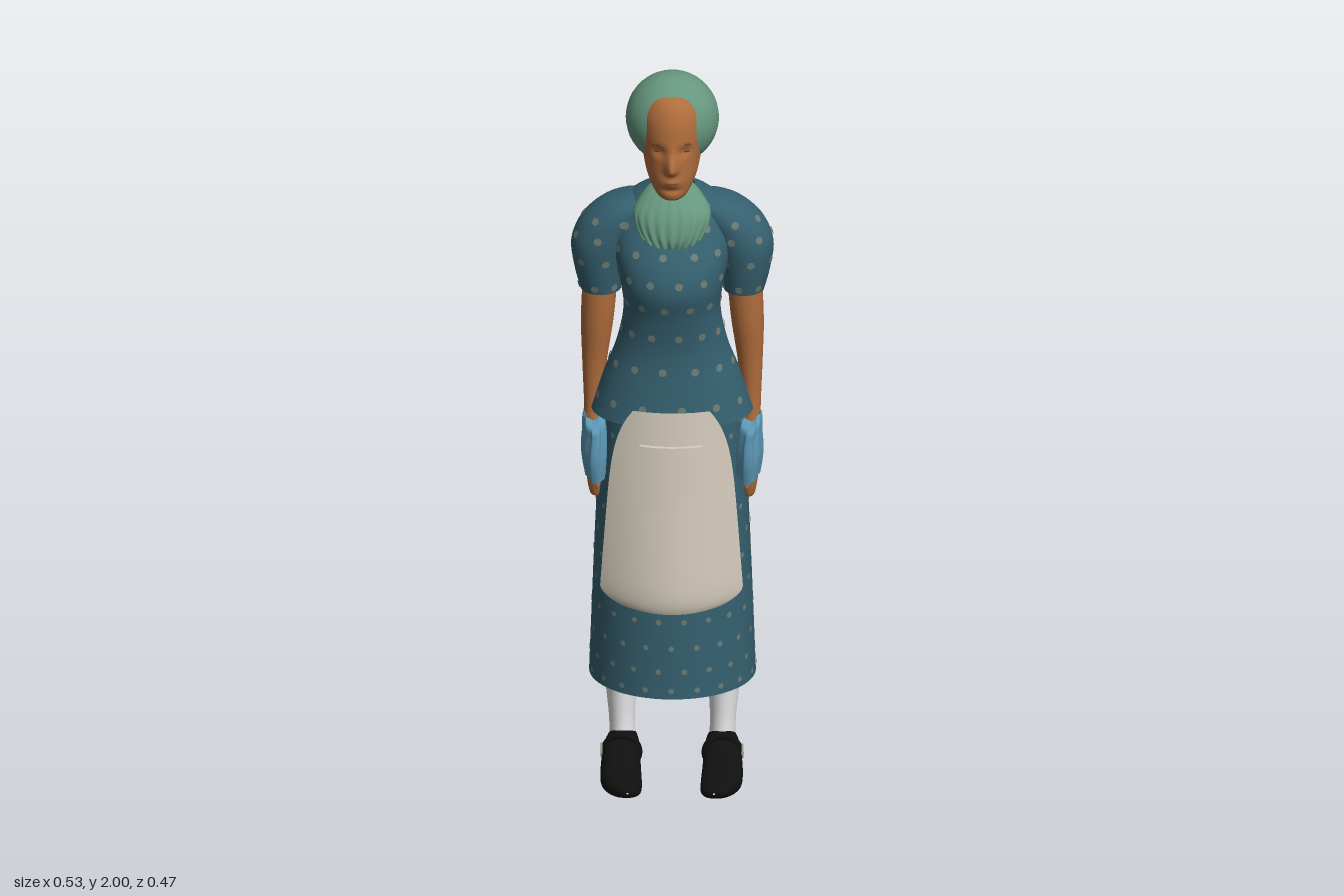
import * as THREE from 'three';
import { mergeGeometries } from 'three/addons/utils/BufferGeometryUtils.js';
import { ParametricGeometry } from 'three/addons/geometries/ParametricGeometry.js';

const mat = (name, color, side = THREE.FrontSide) => {
  const m = new THREE.MeshStandardMaterial({ color, side });
  m.name = name;
  return m;
};

// Smooth surface through rows of [y, centreX, halfWidth, zBack, zFront]
function surface(rows, n = 2) {
  const last = rows.length - 1;
  const spow = (v) => Math.sign(v) * Math.pow(Math.abs(v), 2 / n);
  return (a, t) => {
    const f = Math.min(Math.max(t, 0), 1) * last;
    const i = Math.min(Math.floor(f), last - 1), k = f - i;
    const p = [-1, 0, 1, 2].map((o) => rows[Math.min(Math.max(i + o, 0), last)]);
    const [y, cx, rx, zb, zf] = p[1].map((b, c) => {
      const A = p[0][c], C = p[2][c], D = p[3][c];
      return b + 0.5 * k * (C - A + k * (2 * A - 5 * b + 4 * C - D + k * (3 * (b - C) + D - A)));
    });
    return new THREE.Vector3(cx + rx * spow(Math.cos(a)), y, (zb + zf) / 2 + ((zf - zb) / 2) * spow(Math.sin(a)));
  };
}

// Closed tube over a surface; adjust moves each point, inside turns it inwards
function loft(fn, { seg = 36, steps = 32, adjust, inside = false } = {}) {
  const pos = [], index = [];
  for (let j = 0; j <= steps; j++) {
    for (let i = 0; i < seg; i++) {
      const a = (i / seg) * Math.PI * 2;
      const p = fn(a, j / steps);
      if (adjust) adjust(p, a, j / steps);
      pos.push(p.x, p.y, p.z);
      if (j === steps) continue;
      const A = j * seg + i, B = j * seg + ((i + 1) % seg), C = A + seg, D = B + seg;
      index.push(...(inside ? [A, B, C, B, D, C] : [A, C, B, B, C, D]));
    }
  }
  const g = new THREE.BufferGeometry();
  g.setAttribute('position', new THREE.Float32BufferAttribute(pos, 3));
  g.setIndex(index);
  g.computeVertexNormals();
  return g;
}

// Staggered flat spots lying on a surface
function spots(fn, cols, rows, r, t0, t1) {
  const list = [], z = new THREE.Vector3(0, 0, 1), e = 0.01;
  for (let j = 0; j < rows; j++) {
    for (let i = 0; i < cols; i++) {
      const a = ((i + (j % 2) / 2) / cols) * Math.PI * 2;
      const t = t0 + ((t1 - t0) * j) / (rows - 1);
      const p = fn(a, t);
      const du = fn(a + e, t).sub(fn(a - e, t)), dv = fn(a, t + e).sub(fn(a, t - e));
      const normal = dv.cross(du).normalize();
      const g = new THREE.CircleGeometry(r, 7);
      g.applyQuaternion(new THREE.Quaternion().setFromUnitVectors(z, normal));
      p.addScaledVector(normal, 0.003);
      list.push(g.translate(p.x, p.y, p.z));
    }
  }
  return mergeGeometries(list);
}

export function createModel() {
  const model = new THREE.Group();
  model.name = 'woman';
  const dress = mat('dress teal', 0x35606f, THREE.DoubleSide);
  const spot = mat('spot grey', 0x6c7c74);
  const skin = mat('skin', 0xb06d3c);
  const dark = mat('dark brown', 0x6b3f25);
  const green = mat('scarf green', 0x67977f);
  const cream = mat('apron cream', 0xd6cdbd, THREE.DoubleSide);
  const blue = mat('light blue', 0x5b96b4, THREE.DoubleSide);
  const white = mat('sock white', 0xf0f0f2);
  const black = mat('shoe black', 0x101010);
  const brass = mat('buckle', 0xb0a890);

  const add = (name, geometry, material) => {
    const m = new THREE.Mesh(geometry, material);
    m.name = name;
    model.add(m);
    return m;
  };
  const ball = (name, material, x, y, z, sx, sy, sz) => {
    const m = add(name, new THREE.SphereGeometry(1, 32, 24), material);
    m.position.set(x, y, z);
    m.scale.set(sx, sy, sz);
    return m;
  };

  // Skirt with a lighter lining
  const skirt = surface([[0.28, 0, 0.218, -0.235, 0.16], [0.68, 0, 0.203, -0.212, 0.147], [1.07, 0, 0.185, -0.19, 0.13]]);
  add('skirt', loft(skirt, { seg: 64, steps: 8 }), dress);
  const lining = (p) => { p.x *= 0.985; p.z = (p.z + 0.035) * 0.985 - 0.035; };
  add('skirtLining', loft(skirt, { seg: 64, steps: 8, adjust: lining, inside: true }), blue);
  add('skirtSpots', spots(skirt, 20, 12, 0.008, 0.05, 0.95), spot);

  // Fitted bodice with a flared hem
  const bodice = surface([
    [1.05, 0, 0.212, -0.16, 0.148], [1.15, 0, 0.18, -0.125, 0.133], [1.25, 0, 0.145, -0.088, 0.125],
    [1.35, 0, 0.127, -0.08, 0.14], [1.43, 0, 0.135, -0.09, 0.16], [1.5, 0, 0.15, -0.115, 0.145],
    [1.57, 0, 0.158, -0.13, 0.105], [1.62, 0, 0.142, -0.125, 0.078], [1.66, 0, 0.1, -0.105, 0.055],
    [1.685, 0, 0.058, -0.07, 0.045]], 2.15);
  add('bodice', loft(bodice, { seg: 64, steps: 48 }), dress);
  add('bodiceSpots', spots(bodice, 13, 8, 0.011, 0.06, 0.82), spot);

  // Curved apron with rounded lower corners
  const halfWidth = (y) => {
    const k = (y - 0.53) / 0.57;
    return 0.19 - 0.04 * k - 0.05 * Math.pow(k, 8) - 0.06 * Math.pow(Math.max(0, 1 - k * 12), 2);
  };
  add('apron', new ParametricGeometry((u, v, out) => {
    const k = v * v * (3 - 2 * v), y = 0.53 + 0.57 * k;
    const s = u * 2 - 1, x = s * halfWidth(y);
    const edge = 0.015 * Math.pow(1 - k, 20);
    out.set(x, y + 0.012 * s * s * (1 - k), 0.192 - 0.034 * k - (2.1 - 0.5 * k) * x * x - edge);
  }, 24, 40), cream);
  const pocket = new THREE.BoxGeometry(0.165, 0.17, 0.012, 14, 4, 1);
  const pp = pocket.attributes.position;
  for (let i = 0; i < pp.count; i++) {
    pp.setZ(i, pp.getZ(i) + 0.203 - 0.05 * pp.getY(i) - 2 * pp.getX(i) ** 2);
  }
  pocket.translate(0, 0.935, 0);
  pocket.computeVertexNormals();
  add('apronPocket', pocket, cream);

  // Neck and head with nose, eye sockets and mouth
  add('neck', loft(surface([[1.58, 0, 0.075, -0.08, 0.05], [1.66, 0, 0.058, -0.068, 0.05],
    [1.7, 0, 0.052, -0.06, 0.055], [1.78, 0, 0.055, -0.06, 0.06]])), skin);
  const bump = (v, s) => Math.exp(-(v * v) / (s * s));
  add('head', loft(surface([
    [1.684, 0, 0.004, 0.07, 0.08], [1.69, 0, 0.032, 0.02, 0.112], [1.71, 0, 0.05, -0.02, 0.123],
    [1.75, 0, 0.067, -0.06, 0.126], [1.8, 0, 0.077, -0.09, 0.125], [1.86, 0, 0.083, -0.09, 0.126],
    [1.92, 0, 0.08, -0.08, 0.115], [1.96, 0, 0.05, -0.05, 0.085], [1.975, 0, 0.004, 0, 0.01]]), {
    seg: 96, steps: 72,
    adjust: (p) => {
      if (p.z < 0.04) return;
      const { x, y } = p;
      p.z += 0.03 * bump(x, 0.015) * bump(y - 1.785, y > 1.785 ? 0.038 : 0.014)
        - 0.011 * bump(Math.abs(x) - 0.033, 0.018) * bump(y - 1.83, 0.014)
        + 0.008 * bump(x, 0.022) * bump(y - 1.745, 0.013)
        - 0.006 * bump(x, 0.03) * bump(y - 1.722, 0.009);
    },
  }), skin);
  ball('lips', dark, 0, 1.745, 0.129, 0.02, 0.003, 0.0065);
  for (const s of [-1, 1]) {
    ball('eye', dark, s * 0.033, 1.829, 0.101, 0.014, 0.004, 0.006);
    ball('eyebrow', dark, s * 0.034, 1.852, 0.111, 0.018, 0.003, 0.005);
  }

  // Head scarf and pleated neckerchief
  ball('headScarf', green, 0, 1.875, -0.012, 0.122, 0.125, 0.115);
  add('neckerchief', loft(surface([
    [1.545, 0, 0.02, 0.08, 0.105], [1.55, 0, 0.055, 0.06, 0.115], [1.58, 0, 0.085, 0.03, 0.12],
    [1.63, 0, 0.102, 0.0, 0.107], [1.67, 0, 0.08, -0.02, 0.08], [1.695, 0, 0.052, -0.03, 0.048],
    [1.69, 0, 0.03, -0.02, 0.035]]), {
    seg: 120, steps: 30,
    adjust: (p, a, t) => {
      const wave = Math.cos(a * 20) * (1 - t);
      p.z += 0.004 * wave;
      p.y -= 0.006 * wave * (1 - t);
    },
  }), green);

  for (const s of [-1, 1]) {
    const side = s > 0 ? 'left' : 'right';
    const limb = (rows, n) => surface(rows.map(([y, x, ...r]) => [y, s * x, ...r]), n);

    // Puffed sleeve
    const sleeve = limb([
      [1.385, 0.187, 0.053, -0.072, 0.04], [1.44, 0.19, 0.065, -0.09, 0.052], [1.51, 0.187, 0.078, -0.1, 0.062],
      [1.56, 0.168, 0.084, -0.108, 0.062], [1.6, 0.142, 0.083, -0.108, 0.058], [1.635, 0.11, 0.07, -0.095, 0.045],
      [1.655, 0.09, 0.03, -0.06, 0.01], [1.657, 0.085, 0.003, -0.03, -0.02]]);
    add(side + 'Sleeve', loft(sleeve), dress);
    add(side + 'SleeveSpots', spots(sleeve, 7, 4, 0.011, 0.06, 0.55), spot);

    // Arm, hand and thumb
    add(side + 'Arm', loft(limb([
      [0.795, 0.2, 0.003, -0.005, 0.005], [0.805, 0.2, 0.016, -0.022, 0.016], [0.87, 0.2, 0.026, -0.03, 0.03],
      [0.95, 0.205, 0.025, -0.035, 0.018], [1.05, 0.207, 0.024, -0.05, 0.005], [1.18, 0.203, 0.033, -0.058, 0.012],
      [1.3, 0.196, 0.043, -0.065, 0.028], [1.44, 0.187, 0.046, -0.065, 0.035]])), skin);
    const thumb = ball(side + 'Thumb', skin, s * 0.195, 0.865, 0.036, 0.01, 0.035, 0.011);
    thumb.rotation.x = -0.35;

    // Gathered cuff
    add(side + 'Cuff', loft(limb([
      [0.87, 0.198, 0.03, -0.072, 0.092], [0.93, 0.2, 0.036, -0.08, 0.1], [0.99, 0.2, 0.033, -0.082, 0.095],
      [1.02, 0.203, 0.03, -0.08, 0.088], [1.035, 0.207, 0.024, -0.055, 0.05]]), {
      seg: 60, adjust: (p, a, t) => { p.x += 0.003 * Math.sin(a * 9 + t * 4); p.y += 0.005 * Math.sin(a * 3); },
    }), blue);

    // Leg and sock
    add(side + 'Leg', loft(limb([[0.15, 0.135, 0.03, -0.07, 0.005], [0.27, 0.135, 0.037, -0.085, 0.015],
      [0.4, 0.13, 0.048, -0.1, 0.025], [0.55, 0.12, 0.045, -0.07, 0.04], [0.8, 0.1, 0.065, -0.09, 0.07]])), skin);
    add(side + 'Sock', loft(limb([[0.08, 0.13, 0.034, -0.07, 0.025], [0.15, 0.132, 0.034, -0.072, 0.018],
      [0.22, 0.134, 0.039, -0.085, 0.018], [0.27, 0.135, 0.042, -0.09, 0.02], [0.272, 0.135, 0.034, -0.08, 0.012]])), white);

    // Shoe swept from heel to toe, with heel block, strap and buckle
    const shoe = loft(limb([
      [-0.086, 0.13, 0.003, -0.06, -0.05], [-0.08, 0.13, 0.03, -0.1, -0.015], [-0.03, 0.13, 0.042, -0.118, -0.008],
      [0.03, 0.132, 0.048, -0.125, -0.01], [0.09, 0.133, 0.053, -0.09, -0.004], [0.15, 0.13, 0.053, -0.068, -0.006],
      [0.2, 0.12, 0.042, -0.06, -0.016], [0.23, 0.114, 0.024, -0.056, -0.03], [0.237, 0.113, 0.003, -0.046, -0.042]], 2.5));
    add(side + 'Shoe', shoe.rotateX(Math.PI / 2), black);
    const heel = new THREE.CylinderGeometry(0.036, 0.034, 0.03, 20);
    add(side + 'Heel', heel.translate(s * 0.13, 0.015, -0.045), black);
    const strap = add(side + 'Strap', new THREE.TorusGeometry(0.046, 0.009, 8, 28), black);
    strap.position.set(s * 0.132, 0.078, 0.045);
    const buckle = add(side + 'Buckle', new THREE.TorusGeometry(0.018, 0.003, 6, 4), brass);
    buckle.position.set(s * 0.184, 0.085, 0.05);
    buckle.rotation.y = (s * Math.PI) / 2;
  }
  return model;
}
